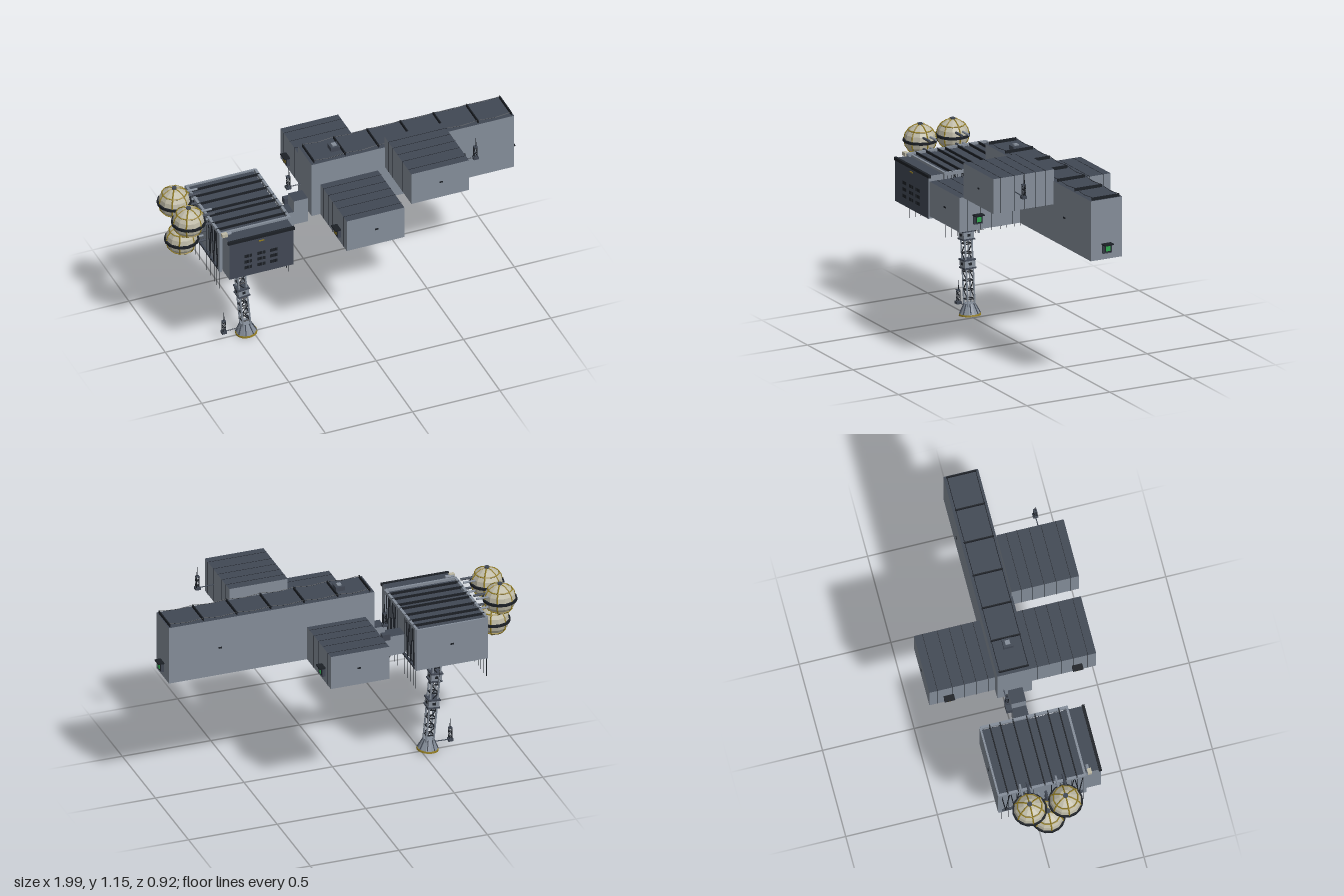
import * as THREE from 'three';

const mat = (name, color) => {
  const m = new THREE.MeshStandardMaterial({ color, flatShading: true });
  m.name = name;
  return m;
};

export function createModel() {
  const grey = mat('hull grey', 0x848d99);
  const dark = mat('dark panel', 0x414854);
  const black = mat('black metal', 0x1c2026);
  const cream = mat('tank cream', 0xbdb9a6);
  const gold = mat('gold trim', 0x8f7a22);
  const green = mat('green light', 0x2fa84f);
  const model = new THREE.Group();
  const clad = [grey, grey, dark, dark, grey, grey]; // dark roof and underside

  const add = (parent, name, geo, m) => {
    const mesh = new THREE.Mesh(geo, m);
    mesh.name = name;
    parent.add(mesh);
    return mesh;
  };
  const group = (name, parent = model) => {
    const g = new THREE.Group();
    g.name = name;
    parent.add(g);
    return g;
  };
  const box = (parent, name, m, x, y, z) => {
    const mesh = add(parent, name, new THREE.BoxGeometry(x[1] - x[0], y[1] - y[0], z[1] - z[0]), m);
    mesh.position.set((x[0] + x[1]) / 2, (y[0] + y[1]) / 2, (z[0] + z[1]) / 2);
    return mesh;
  };
  const rod = (parent, name, m, a, b, r = 0.002, sides = 5) => {
    const p = new THREE.Vector3(...a), d = new THREE.Vector3(...b).sub(p);
    const mesh = add(parent, name, new THREE.CylinderGeometry(r, r, d.length(), sides), m);
    mesh.position.copy(p).addScaledVector(d, 0.5);
    mesh.quaternion.setFromUnitVectors(new THREE.Vector3(0, 1, 0), d.normalize());
    return mesh;
  };

  // Main hull, cross arms and raised cabin
  const modules = group('habitatModules');
  box(modules, 'mainHull', clad, [-0.2, 0.96], [0.728, 1.06], [-0.097, 0.092]);
  box(modules, 'crossArms', clad, [-0.15, 0.18], [0.728, 0.92], [-0.455, 0.455]);
  box(modules, 'raisedCabin', clad, [0.22, 0.55], [0.932, 1.125], [0.088, 0.455]);
  for (const s of [-1, 1])
    for (const z of [0.135, 0.2, 0.265, 0.33, 0.41])
      box(modules, 'armSeam', black, [-0.151, 0.181], [0.727, 0.921], [s * z - 0.001, s * z + 0.001]);
  for (const z of [0.14, 0.2, 0.265, 0.33, 0.41])
    box(modules, 'cabinSeam', black, [0.219, 0.551], [0.931, 1.126], [z - 0.001, z + 0.001]);

  // Roof frames joined by sagging safety lines
  const roof = group('roofFrames');
  const xs = [-0.18, 0, 0.19, 0.38, 0.57, 0.76, 0.95];
  xs.forEach((x, i) => {
    box(roof, 'roofRib', black, [x - 0.003, x + 0.003], [1.06, 1.076], [-0.084, 0.08]);
    if (i) for (const z of [-0.08, 0.076]) {
      const p = xs[i - 1], mid = (p + x) / 2;
      rod(roof, 'safetyLine', black, [p, 1.075, z], [mid, 1.066, z], 0.0015, 4);
      rod(roof, 'safetyLine', black, [mid, 1.066, z], [x, 1.075, z], 0.0015, 4);
    }
  });
  box(roof, 'roofHatch', dark, [-0.06, -0.01], [1.06, 1.085], [-0.026, 0.026]);
  box(roof, 'roofHatchLid', grey, [-0.047, -0.023], [1.085, 1.092], [-0.013, 0.013]);

  // Small wall plates and handles
  for (const [x, y, z] of [[0.67, 0.89, 0.092], [0.39, 1.03, 0.455], [0.02, 0.825, 0.455],
    [0.67, 0.89, -0.097], [0.02, 0.825, -0.455], [-0.585, 0.75, -0.242]])
    box(modules, 'wallHandle', black, [x - 0.009, x + 0.009], [y - 0.004, y + 0.004], [z - 0.004, z + 0.004]);

  // Docking hatches: green on the +x side, gold on the other
  const hatch = (x, z, s) => {
    const g = group('dockingHatch');
    g.position.set(x, 0.79, z);
    g.scale.x = 1;
    const span = (a, b) => (s > 0 ? [a, b] : [-b, -a]);
    box(g, 'hatchFrame', dark, span(0, 0.018), [-0.026, 0.024], [-0.026, 0.026]);
    box(g, 'hatchHood', black, span(0, 0.034), [0.02, 0.027], [-0.028, 0.028]);
    box(g, 'hatchSurround', black, span(0.018, 0.02), [-0.02, 0.02], [-0.02, 0.02]);
    box(g, 'hatchLight', s > 0 ? green : gold, span(0.02, 0.023), [-0.013, 0.013], [-0.013, 0.013]);
  };
  hatch(0.96, 0, 1);
  for (const z of [-0.35, 0.35]) {
    hatch(0.18, z, 1);
    hatch(-0.15, z, -1);
  }

  // Stepped connecting tunnel
  const tunnel = group('connectingTunnel');
  box(tunnel, 'upperTunnel', clad, [-0.28, -0.2], [0.66, 0.81], [-0.04, 0.04]);
  box(tunnel, 'lowerTunnel', clad, [-0.395, -0.28], [0.628, 0.742], [-0.04, 0.04]);
  box(tunnel, 'tunnelBracket', dark, [-0.3, -0.255], [0.74, 0.775], [-0.072, -0.04]);

  // Workshop block with ribbed roof and open strut sides
  const shop = group('workshop');
  box(shop, 'workshopCore', clad, [-0.775, -0.4], [0.632, 0.86], [-0.235, 0.23]);
  box(shop, 'backWall', grey, [-0.788, -0.385], [0.625, 0.868], [-0.242, -0.232]);
  box(shop, 'frontBay', [grey, grey, dark, dark, dark, grey], [-0.768, -0.4], [0.625, 0.862], [0.23, 0.325]);
  box(shop, 'frontRoofLip', black, [-0.775, -0.394], [0.85, 0.866], [0.312, 0.328]);
  for (const x of [-0.782, -0.388]) {
    box(shop, 'roofEdge', grey, [x - 0.007, x + 0.007], [0.855, 0.872], [-0.235, 0.235]);
    box(shop, 'floorEdge', dark, [x - 0.006, x + 0.006], [0.622, 0.634], [-0.235, 0.235]);
    for (const z of [-0.23, 0.232])
      box(shop, 'cornerPost', grey, [x - 0.008, x + 0.008], [0.622, 0.87], [z - 0.008, z + 0.008]);
  }
  box(shop, 'roofCrossBar', grey, [-0.788, -0.385], [0.858, 0.874], [0.228, 0.24]);
  for (const z of [-0.187, -0.13, -0.06, 0.015, 0.06, 0.13, 0.19]) {
    box(shop, 'roofBeam', black, [-0.788, -0.384], [0.858, 0.873], [z - 0.003, z + 0.003]);
    box(shop, 'floorBeam', black, [-0.788, -0.384], [0.62, 0.634], [z - 0.003, z + 0.003]);
  }
  for (const x of [-0.785, -0.386]) {
    for (const z of [-0.2, -0.15, -0.1, 0.1, 0.15, 0.2])
      for (const d of [-0.022, 0.022])
        rod(shop, 'sideStrut', black, [x, 0.855, z + d], [x, 0.628, z], 0.003);
    for (const z of [-0.225, -0.187, -0.14, -0.1, -0.05, 0.05, 0.1, 0.16, 0.193, 0.227])
      rod(shop, 'hangingRod', black, [x, 0.86, z], [x, 0.51, z], 0.0015, 4);
  }

  // Louvre windows on the front bay
  for (const x of [-0.66, -0.585, -0.515])
    for (const y of [0.68, 0.717, 0.753])
      for (const d of [-0.015, 0, 0.015])
        box(shop, 'louvre', black, [x + d - 0.0065, x + d + 0.0065], [y - 0.009, y + 0.009], [0.324, 0.328]);
  box(shop, 'frontSign', gold, [-0.6, -0.57], [0.83, 0.836], [0.324, 0.329]);
  rod(shop, 'lampPipe', grey, [-0.78, 0.874, 0.255], [-0.73, 0.874, 0.255], 0.009, 8);
  box(shop, 'lampHead', cream, [-0.785, -0.755], [0.865, 0.885], [0.25, 0.272]);

  // Banded storage tanks with feed pipes
  for (const [y, z] of [[0.892, -0.1], [0.892, 0.096], [0.718, 0]]) {
    const tank = group('storageTank');
    tank.position.set(-0.907, y, z);
    add(tank, 'tankShell', new THREE.SphereGeometry(0.086, 12, 8), cream);
    add(tank, 'equatorRing', new THREE.CylinderGeometry(0.093, 0.093, 0.014, 16), black);
    for (let i = 0; i < 3; i++)
      add(tank, 'tankBand', new THREE.TorusGeometry(0.086, 0.004, 4, 16), gold).rotation.y = i * Math.PI / 3;
    for (const s of [-1, 1]) {
      const band = add(tank, 'latitudeBand', new THREE.TorusGeometry(0.066, 0.004, 4, 12), gold);
      band.rotation.x = Math.PI / 2;
      band.position.y = s * 0.056;
      add(tank, 'tankCap', new THREE.CylinderGeometry(0.014, 0.014, 0.012, 8), dark).position.y = s * 0.086;
    }
    for (const d of [-0.03, 0.03]) {
      rod(tank, 'feedPipe', dark, [0.06, d, 0.02], [0.14, d, 0.02], 0.007, 8);
      rod(tank, 'mountArm', grey, [0.06, d, -0.02], [0.14, d, -0.02], 0.006, 8);
    }
  }

  // Leaning lattice leg with collars and flared foot
  const leg = group('supportLeg');
  leg.position.set(-0.536, 0.006, 0);
  leg.rotation.z = 0.094;
  const w = 0.021;
  for (const x of [-w, w]) for (const z of [-w, w])
    rod(leg, 'legRail', grey, [x, 0.05, z], [x, 0.615, z], 0.0055, 6);
  for (let i = 0; i < 11; i++) {
    const y = 0.09 + i * 0.05, f = i % 2 ? 1 : -1;
    for (const s of [-w, w]) {
      rod(leg, 'legRung', black, [s, y, -w], [s, y, w], 0.004);
      rod(leg, 'legRung', black, [-w, y, s], [w, y, s], 0.004);
      if (i < 10) rod(leg, 'legBrace', black, [-f * w, y, s], [f * w, y + 0.05, s], 0.003);
    }
  }
  for (const y of [0.281, 0.437]) {
    box(leg, 'legCollar', grey, [-0.03, 0.03], [y - 0.024, y + 0.024], [-0.031, 0.031]);
    for (const d of [-0.022, 0.022])
      box(leg, 'collarFlange', dark, [-0.034, 0.034], [y + d - 0.004, y + d + 0.004], [-0.035, 0.035]);
    box(leg, 'collarPort', black, [-0.033, 0.033], [y - 0.006, y + 0.008], [-0.009, 0.009]);
    box(leg, 'collarPort', black, [-0.009, 0.009], [y - 0.006, y + 0.008], [-0.034, 0.034]);
  }
  box(leg, 'legMount', grey, [-0.032, 0.032], [0.605, 0.63], [-0.034, 0.034]);
  add(leg, 'foot', new THREE.CylinderGeometry(0.028, 0.055, 0.056, 12), grey).position.y = 0.038;
  add(leg, 'footRing', new THREE.CylinderGeometry(0.058, 0.06, 0.009, 16), gold).position.y = 0.0055;
  add(leg, 'footSole', new THREE.CylinderGeometry(0.048, 0.048, 0.003, 12), black).position.y = 0.0005;
  for (let i = 0; i < 8; i++) {
    const a = (i + 0.5) * Math.PI / 4, c = Math.cos(a), s = Math.sin(a);
    rod(leg, 'footRib', dark, [c * 0.056, 0.012, s * 0.056], [c * 0.029, 0.066, s * 0.029], 0.003);
  }

  // Lattice antennas on side brackets: base point and bracket root
  const antenna = (x, y, z, root) => {
    const g = group('antenna');
    g.position.set(x, y, z);
    rod(g, 'bracket', dark, [root[0] - x, root[1] - y, root[2] - z], [0, 0.012, 0], 0.003);
    box(g, 'antennaBase', dark, [-0.014, 0.014], [0.004, 0.018], [-0.014, 0.014]);
    for (const a of [-0.008, 0.008]) {
      for (const b of [-0.008, 0.008]) rod(g, 'mastRail', black, [a, 0.01, b], [a, 0.08, b], 0.0018);
      for (let i = 0; i < 4; i++) {
        const h = 0.018 + i * 0.015, f = i % 2 ? 0.008 : -0.008;
        rod(g, 'mastBrace', black, [f, h, a], [-f, h + 0.015, a], 0.0014, 4);
        rod(g, 'mastBrace', black, [a, h, f], [a, h + 0.015, -f], 0.0014, 4);
      }
    }
    box(g, 'mastHead', dark, [-0.01, 0.01], [0.078, 0.083], [-0.01, 0.01]);
    rod(g, 'whip', black, [0, 0.08, 0], [0, 0.135, 0], 0.0018, 4);
    rod(g, 'whip', black, [0.006, 0.08, 0], [0.006, 0.108, 0], 0.0014, 4);
  };
  antenna(0.642, 1.02, 0.323, [0.55, 1.035, 0.323]);
  antenna(-0.27, 0.822, -0.062, [-0.2, 0.834, -0.062]);
  antenna(-0.665, 0.03, 0, [-0.57, 0.045, 0]);

  // Small sensor frame beside the upper leg collar
  const sensor = group('sideSensor');
  rod(sensor, 'sensorArm', black, [-0.575, 0.455, -0.03], [-0.575, 0.455, -0.105], 0.0015, 4);
  rod(sensor, 'sensorWhip', black, [-0.575, 0.44, -0.075], [-0.575, 0.51, -0.075], 0.0015, 4);
  box(sensor, 'sensorHead', grey, [-0.58, -0.57], [0.44, 0.47], [-0.08, -0.07]);
  return model;
}
